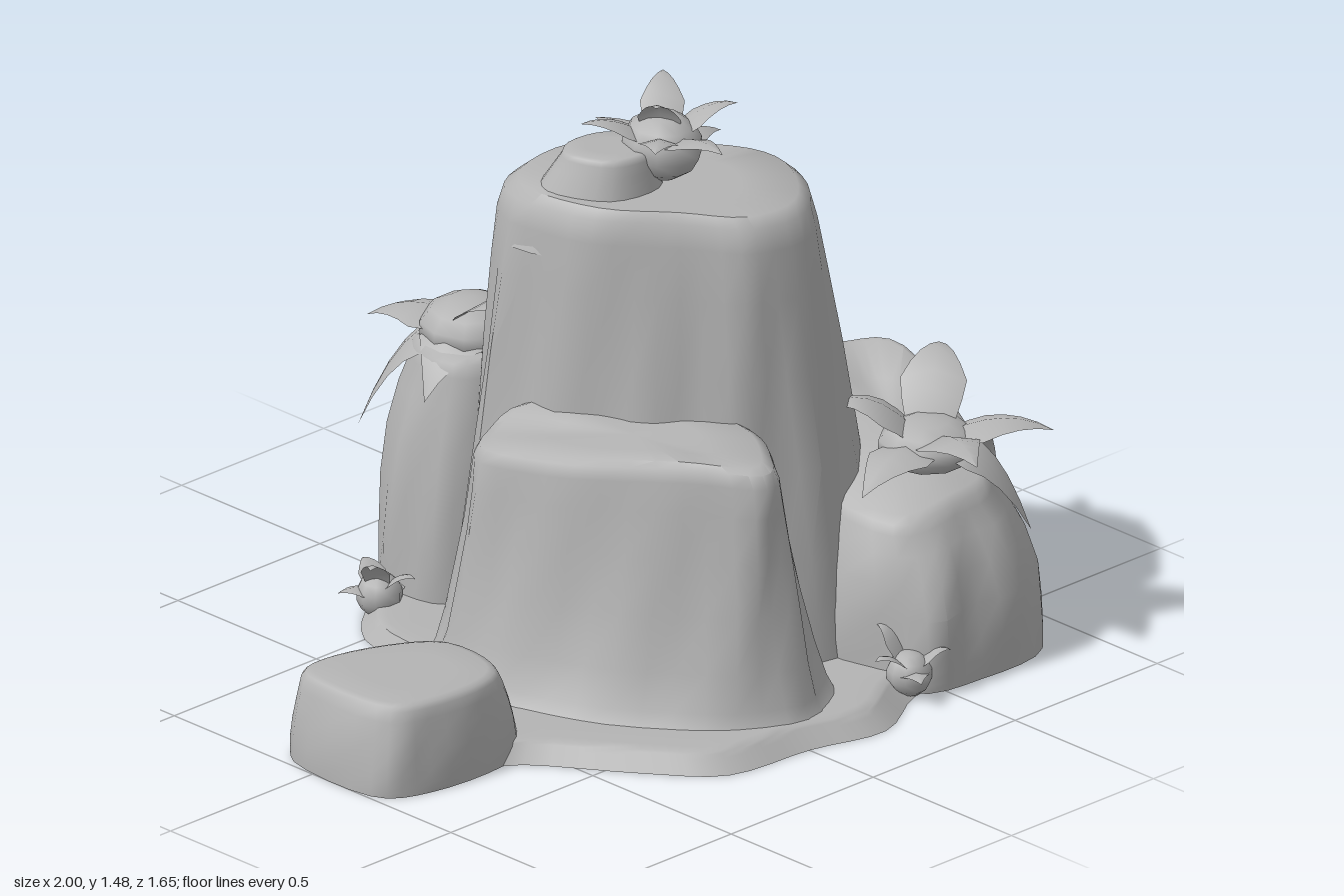
import * as THREE from 'three';
import { toCreasedNormals } from 'three/addons/utils/BufferGeometryUtils.js';

const stone = new THREE.MeshStandardMaterial({ color: 0xb4b4b4, side: THREE.DoubleSide });
stone.name = 'grey stone';

// Grid of points (rows x columns) to an indexed surface
function gridGeometry(rows, closed) {
  const n = rows[0].length, index = [];
  for (let j = 0; j < rows.length - 1; j++) {
    for (let i = 0; i < (closed ? n : n - 1); i++) {
      const a = j * n + i, b = j * n + (i + 1) % n, c = a + n, d = b + n;
      index.push(a, c, b, b, c, d);
    }
  }
  const g = new THREE.BufferGeometry();
  g.setAttribute('position', new THREE.Float32BufferAttribute(rows.flat(2), 3));
  g.setIndex(index);
  g.computeVertexNormals();
  return g;
}

// Rock lofted from a foot outline [x, z] to a top outline [x, z, y].
// power > 1 bulges the sides, power < 1 flares the foot.
function rock(name, foot, top, height, power, wobble = 0.012, bottom = 0.01) {
  const area = foot.reduce((s, p, i) => {
    const q = foot[(i + 1) % foot.length];
    return s + p[0] * q[1] - q[0] * p[1];
  }, 0);
  if (area < 0) { foot = [...foot].reverse(); top = [...top].reverse(); }
  const curve = (pts, y) => new THREE.CatmullRomCurve3(
    pts.map(p => new THREE.Vector3(p[0], p[2] ?? y, p[1])), true, 'catmullrom', 0.5);
  const lower = curve(foot, bottom), upper = curve(top, height);
  const n = foot.length * 4;
  const mean = pts => pts.reduce((s, p) => s.add(p), new THREE.Vector3()).divideScalar(n);
  const low = [], high = [];
  for (let i = 0; i < n; i++) { low.push(lower.getPoint(i / n)); high.push(upper.getPoint(i / n)); }
  const lowMid = mean(low.map(p => p.clone())), highMid = mean(high.map(p => p.clone()));
  // [height fraction, scale about the centre]
  const levels = [[0, 0], [0, 1], [0.05, 1], [0.12, 1], [0.25, 1], [0.45, 1], [0.65, 1],
    [0.82, 1], [0.93, 1], [0.98, 0.96], [1, 0.88], [1, 0.5], [1, 0]];
  const rows = levels.map(([v, scale]) => {
    const blend = v > 0.93 ? 1 : Math.pow(v / 0.93, power);
    return low.map((p, i) => {
      const q = p.clone().lerp(high[i], blend);
      const mid = lowMid.clone().lerp(highMid, blend);
      const bump = 1 + wobble * 3 * Math.sin(i * 1.7 + v * 2.5) * Math.sin(v * Math.PI);
      const y = THREE.MathUtils.lerp(bottom, THREE.MathUtils.lerp(highMid.y, high[i].y, scale), v);
      return [mid.x + (q.x - mid.x) * scale * bump, y, mid.z + (q.z - mid.z) * scale * bump];
    });
  });
  const mesh = new THREE.Mesh(toCreasedNormals(gridGeometry(rows, true), 0.8), stone);
  mesh.name = name;
  return mesh;
}

// Folded pointed leaf that arches from a root to a tip
function leaf(root, tip, width, arch) {
  const a = new THREE.Vector3(...root), c = new THREE.Vector3(...tip);
  const b = a.clone().lerp(c, 0.55);
  b.y = Math.max(a.y, c.y) + arch;
  const path = new THREE.QuadraticBezierCurve3(a, b, c);
  const side = new THREE.Vector3(-(c.z - a.z), 0, c.x - a.x).normalize();
  const rows = [];
  for (let k = 0; k <= 7; k++) {
    const t = k / 7, p = path.getPoint(t);
    const w = width * (t < 0.4 ? 0.55 + 1.1 * t : 0.99 * (1 - t) / 0.6);
    rows.push([-1, 0, 1].map(s => [p.x + side.x * w * s, p.y - Math.abs(s) * w * 0.3, p.z + side.z * w * s]));
  }
  return new THREE.Mesh(gridGeometry(rows, false), stone);
}

// Tuft of leaves round a lumpy heart
function tuft(name, centre, heart, width, arch, tips) {
  const group = new THREE.Group();
  group.name = name;
  const core = new THREE.Mesh(new THREE.SphereGeometry(1, 10, 7), stone);
  core.name = name + 'Heart';
  core.scale.set(...heart);
  core.position.set(...centre);
  group.add(core);
  tips.forEach((tip, i) => {
    const blade = leaf(centre, tip, width, arch);
    blade.name = name + 'Leaf' + (i + 1);
    group.add(blade);
  });
  return group;
}

export function createModel() {
  const model = new THREE.Group();
  model.name = 'rockOutcrop';

  // Ground slab joining all the rocks
  const ground = [[-0.72, -0.06], [-0.52, -0.14], [-0.38, -0.25], [-0.33, -0.5], [-0.15, -0.66], [0.1, -0.76],
    [0.4, -0.74], [0.65, -0.7], [0.75, -0.35], [0.88, 0], [0.9, 0.4], [0.84, 0.7], [0.6, 0.72],
    [0.42, 0.72], [0.22, 0.82], [0, 0.77], [-0.25, 0.74], [-0.4, 0.58], [-0.58, 0.33], [-0.72, 0.24]];
  model.add(rock('groundSlab', ground, ground.map(([x, z]) => [x * 0.93, z * 0.93]), 0.06, 1, 0));

  // Tall central rock and the hump on its top
  model.add(rock('tallRock',
    [[-0.2, -0.3], [0, -0.48], [0.3, -0.48], [0.6, -0.32], [0.86, -0.08], [0.86, 0.2], [0.52, 0.48], [0.27, 0.47], [0, 0.3], [-0.15, 0.05]],
    [[-0.09, -0.22], [0, -0.34], [0.22, -0.36], [0.4, -0.2], [0.56, 0.02], [0.55, 0.2], [0.4, 0.37], [0.22, 0.36], [0.1, 0.2], [-0.04, 0.02]],
    1.27, 0.85));
  model.add(rock('tallRockHump',
    [[-0.1, -0.2], [0.04, -0.33], [0.24, -0.26], [0.3, -0.08], [0.2, 0.06], [0, 0.03]],
    [[0.01, -0.12], [0.07, -0.18], [0.18, -0.16], [0.24, -0.06], [0.18, 0.02], [0.06, 0]],
    1.37, 1, 0, 1.12));

  // Stepped rock on the right, with a flared foot
  model.add(rock('stepRock',
    [[-0.5, -0.08], [-0.37, -0.32], [-0.12, -0.34], [0.1, 0], [0.3, 0.25], [0.36, 0.46], [0.26, 0.7], [0, 0.74], [-0.3, 0.56], [-0.48, 0.24]],
    [[-0.33, -0.08, 0.68], [-0.24, -0.17, 0.68], [-0.12, -0.15], [0.04, 0.02], [0.17, 0.22], [0.18, 0.4], [0.1, 0.55], [0, 0.62], [-0.12, 0.44], [-0.26, 0.18, 0.7]],
    0.73, 0.4));

  // Low boulder out to the side
  model.add(rock('lowBoulder',
    [[-0.98, -0.09], [-0.85, -0.15], [-0.65, -0.1], [-0.5, 0], [-0.5, 0.22], [-0.62, 0.3], [-0.86, 0.29], [-0.99, 0.2]],
    [[-0.95, -0.08], [-0.85, -0.13], [-0.67, -0.08], [-0.54, 0.02], [-0.55, 0.2], [-0.65, 0.27], [-0.85, 0.26], [-0.95, 0.18]],
    0.245, 2, 0.005));

  // Rounded rocks round the left side and back
  model.add(rock('frontLeftRock',
    [[0.38, 0.3], [0.6, 0], [0.88, -0.03], [0.96, 0.18], [0.94, 0.48], [0.86, 0.73], [0.62, 0.76], [0.42, 0.69]],
    [[0.45, 0.3, 0.48], [0.62, 0.06, 0.68], [0.82, 0.06, 0.68], [0.89, 0.2, 0.69], [0.86, 0.45, 0.57], [0.78, 0.63, 0.48], [0.62, 0.66, 0.46], [0.46, 0.6, 0.43]],
    0.6, 3));
  model.add(rock('sideRock',
    [[0.4, -0.1], [0.45, -0.4], [0.72, -0.42], [0.82, -0.25], [0.84, -0.06], [0.7, 0.04]],
    [[0.45, -0.12], [0.48, -0.36], [0.68, -0.37], [0.75, -0.25], [0.77, -0.1], [0.66, -0.02]],
    0.58, 3));
  model.add(rock('backLeftRock',
    [[0.25, -0.4], [0.28, -0.72], [0.45, -0.76], [0.64, -0.73], [0.73, -0.56], [0.7, -0.38], [0.5, -0.3]],
    [[0.28, -0.42], [0.32, -0.64], [0.45, -0.67], [0.58, -0.66], [0.65, -0.54], [0.62, -0.42], [0.48, -0.36]],
    0.67, 3.5));
  model.add(rock('backRock',
    [[-0.1, -0.42], [-0.14, -0.6], [-0.03, -0.75], [0.15, -0.77], [0.36, -0.74], [0.4, -0.45], [0.15, -0.32]],
    [[-0.04, -0.43], [-0.07, -0.56], [0, -0.67], [0.14, -0.7], [0.3, -0.66], [0.32, -0.46], [0.14, -0.36]],
    0.71, 3));

  // Leafy tufts on the rocks
  model.add(tuft('topTuft', [0.24, 1.36, -0.01], [0.1, 0.09, 0.11], 0.06, 0.03, [
    [0.22, 1.37, -0.23], [0.36, 1.49, -0.13], [0.47, 1.32, -0.03], [0.4, 1.46, 0.1], [0.21, 1.42, 0.24],
    [0.09, 1.42, 0.12], [0.07, 1.43, -0.13], [0.18, 1.49, 0.03]]));
  model.add(tuft('frontTuft', [0.68, 0.56, 0.5], [0.13, 0.07, 0.13], 0.09, 0.08, [
    [0.37, 0.53, 0.58], [0.5, 0.66, 0.32], [0.87, 0.73, 0.35], [1.0, 0.38, 0.42], [0.9, 0.6, 0.73],
    [0.82, 0.35, 0.73], [0.6, 0.6, 0.76]]));
  model.add(tuft('backTuft', [0.1, 0.73, -0.55], [0.14, 0.08, 0.14], 0.1, 0.08, [
    [0, 0.7, -0.83], [0.23, 0.38, -0.83], [0.45, 0.64, -0.62], [0.42, 0.7, -0.37], [0.05, 0.82, -0.38],
    [-0.12, 0.6, -0.5], [-0.1, 0.45, -0.76]]));

  // Small sprouts at the foot
  const sprouts = [[-0.2, -0.58], [0.85, -0.1], [0.42, 0.7]];
  sprouts.forEach(([x, z], i) => {
    const tips = [];
    for (let k = 0; k < 5; k++) {
      const a = k * 1.257 + i;
      tips.push([x + 0.11 * Math.cos(a), 0.08 + 0.05 * (k % 3), z + 0.1 * Math.sin(a)]);
    }
    model.add(tuft('footSprout' + (i + 1), [x, 0.07, z], [0.06, 0.06, 0.06], 0.04, 0.03, tips));
  });
  return model;
}
